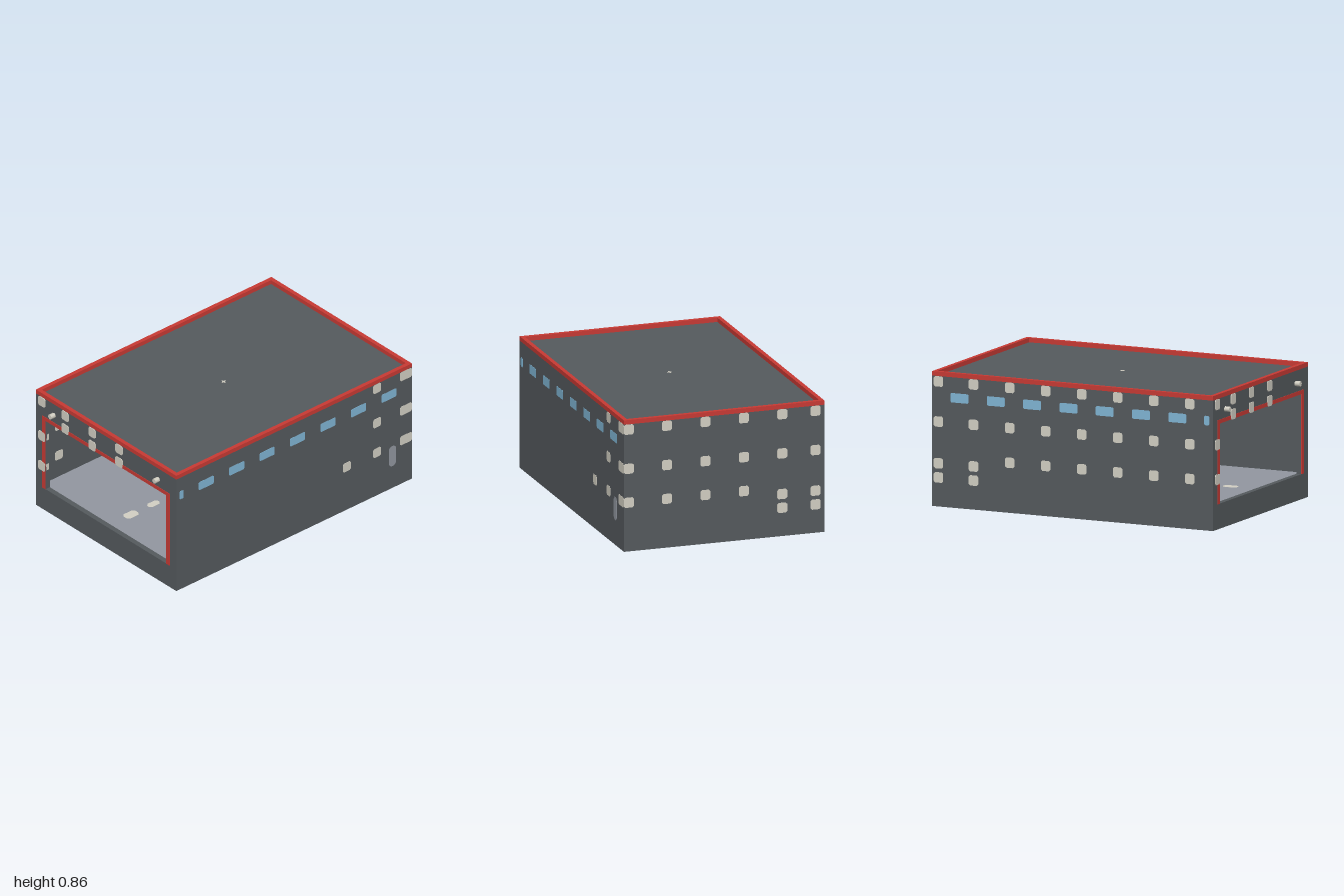
import * as THREE from 'three';

const mat = (name, color) => {
  const m = new THREE.MeshStandardMaterial({ color });
  m.name = name;
  return m;
};

export function createModel() {
  const group = new THREE.Group();
  const wall = mat('dark concrete', 0x555a5e);
  const red = mat('red trim', 0xc83a34);
  const pale = mat('pale stone', 0xd3d0c4);
  const blue = mat('blue glass', 0x80b6d5);
  const grey = mat('floor grey', 0x9297a0);

  const X = 0.665, ZB = -1, ZF = 0.965, T = 0.035;
  const ZM = (ZB + ZF) / 2, LEN = ZF - ZB;

  const add = (name, geo, m, x = 0, y = 0, z = 0) => {
    const mesh = new THREE.Mesh(geo, m);
    mesh.name = name;
    mesh.position.set(x, y, z);
    group.add(mesh);
    return mesh;
  };
  // box given by its two corners
  const box = (name, m, x0, x1, y0, y1, z0, z1) =>
    add(name, new THREE.BoxGeometry(x1 - x0, y1 - y0, z1 - z0), m, (x0 + x1) / 2, (y0 + y1) / 2, (z0 + z1) / 2);
  // rectangle with cut corners, extruded along z and centred
  const plate = (w, h, c, d) => {
    const a = w / 2, b = h / 2;
    const pts = [[-a + c, -b], [a - c, -b], [a, -b + c], [a, b - c], [a - c, b], [-a + c, b], [-a, b - c], [-a, -b + c]];
    const s = new THREE.Shape(pts.map(p => new THREE.Vector2(...p)));
    return new THREE.ExtrudeGeometry(s, { depth: d, bevelEnabled: false }).translate(0, 0, -d / 2);
  };
  const rect = (P, x0, x1, y0, y1) => {
    const p = new P();
    p.moveTo(x0, y0); p.lineTo(x1, y0); p.lineTo(x1, y1); p.lineTo(x0, y1); p.closePath();
    return p;
  };

  // shell: side walls, back wall, front wall with its wide opening
  for (const s of [-1, 1]) {
    add('sideWall', new THREE.BoxGeometry(T, 0.83, LEN), wall, s * (X - T / 2), 0.415, ZM);
  }
  box('backWall', wall, -X + T, X - T, 0, 0.83, ZB, ZB + T);
  const front = rect(THREE.Shape, -X + T, X - T, 0, 0.83);
  front.holes.push(rect(THREE.Path, -0.573, 0.573, 0.16, 0.67));
  add('frontWall', new THREE.ExtrudeGeometry(front, { depth: T, bevelEnabled: false }), wall, 0, 0, ZF - T);
  box('roof', wall, -X + T, X - T, 0.79, 0.83, ZB + T, ZF - T);

  // floor slab with a dashed centre line running through it
  box('floorSlab', grey, -X + T, X - T, 0.13, 0.159, ZB + T, ZF - T);
  for (let i = 0; i < 9; i++) {
    const end = i === 0 || i === 8;
    const dash = add('floorDash', plate(end ? 0.065 : 0.048, end ? 0.1 : 0.09, 0.016, 0.031), pale, 0, 0.1445, 0.757 - i * 0.187);
    dash.rotation.x = -Math.PI / 2;
  }

  // red parapet around the roof edge
  const rim = rect(THREE.Shape, -X, X, -ZF, -ZB);
  rim.holes.push(rect(THREE.Path, -X + 0.027, X - 0.027, -ZF + 0.027, -ZB - 0.027));
  add('parapet', new THREE.ExtrudeGeometry(rim, { depth: 0.028, bevelEnabled: false }), red, 0, 0.83, 0)
    .rotation.x = -Math.PI / 2;

  // red frame on the left, right and top of the opening
  for (const s of [-1, 1]) {
    add('openingJamb', new THREE.BoxGeometry(0.03, 0.51, 0.006), red, s * 0.588, 0.415, ZF);
  }
  box('openingLintel', red, -0.603, 0.603, 0.67, 0.695, ZF - 0.003, ZF + 0.003);

  // stone blocks set through the walls
  const DEPTH = T + 0.003;
  const stone = (x, y, z, side, w = 0.066) => {
    const m = add('stoneBlock', plate(w, 0.066, 0.01, DEPTH), pale, x, y, z);
    if (side) m.rotation.y = Math.PI / 2;
  };
  const backZ = ZB + T / 2, sideX = X - T / 2;
  const rows = [0.796, 0.54, 0.319], lowRows = [0.796, 0.54, 0.275, 0.185];

  for (const x of [0.633, 0.38, 0.125, -0.13]) for (const y of rows) stone(x, y, backZ);
  for (const x of [-0.385, -0.606]) for (const y of lowRows) stone(x, y, backZ);

  for (const z of [-0.955, -0.71]) for (const y of lowRows) stone(-sideX, y, z, true);
  for (let i = 0; i < 6; i++) for (const y of rows) stone(-sideX, y, -0.457 + i * 0.252, true);

  for (const y of rows) {
    stone(sideX, y, -0.95, true, 0.1);
    stone(sideX, y, -0.71, true);
  }
  stone(sideX, 0.319, -0.457, true);

  // front blocks sit a little proud of the red frame
  const frontStone = (x, y) => add('frontStone', plate(0.066, 0.066, 0.01, T), pale, x, y, ZF - T / 2 + 0.005);
  for (const y of rows) frontStone(-0.606, y);
  for (const x of [-0.385, -0.13, 0.125]) for (const y of [0.796, 0.7]) frontStone(x, y);

  // high strip windows on both long sides
  for (const s of [-1, 1]) {
    for (let i = 0; i < 8; i++) {
      const w = i === 0 ? 0.035 : 0.125;
      const z = i === 0 ? 0.922 : 0.716 - (i - 1) * 0.254;
      add('sideWindow', plate(w, 0.06, 0.006, DEPTH), blue, s * sideX, 0.7, z).rotation.y = Math.PI / 2;
    }
  }

  // narrow side door
  add('sideDoor', plate(0.06, 0.148, 0.018, DEPTH), grey, sideX, 0.238, -0.838).rotation.y = Math.PI / 2;

  // booth in the back corner, glazed at the front
  box('booth', wall, -X + T, -0.32, 0.159, 0.38, ZB + T, -0.6);
  box('boothWindow', blue, -X + T, -0.32, 0.159, 0.347, -0.6, -0.594);

  // lamps over the opening and a small roof fitting
  for (const s of [-1, 1]) {
    add('lamp', new THREE.CylinderGeometry(0.017, 0.017, 0.04, 8), pale, s * 0.493, 0.75, 0.98).rotation.x = Math.PI / 2;
  }
  box('roofFitting', pale, -0.002, 0.028, 0.828, 0.832, -0.009, -0.001);
  box('roofFitting', pale, 0.009, 0.017, 0.828, 0.833, -0.02, 0.01);

  return group;
}
